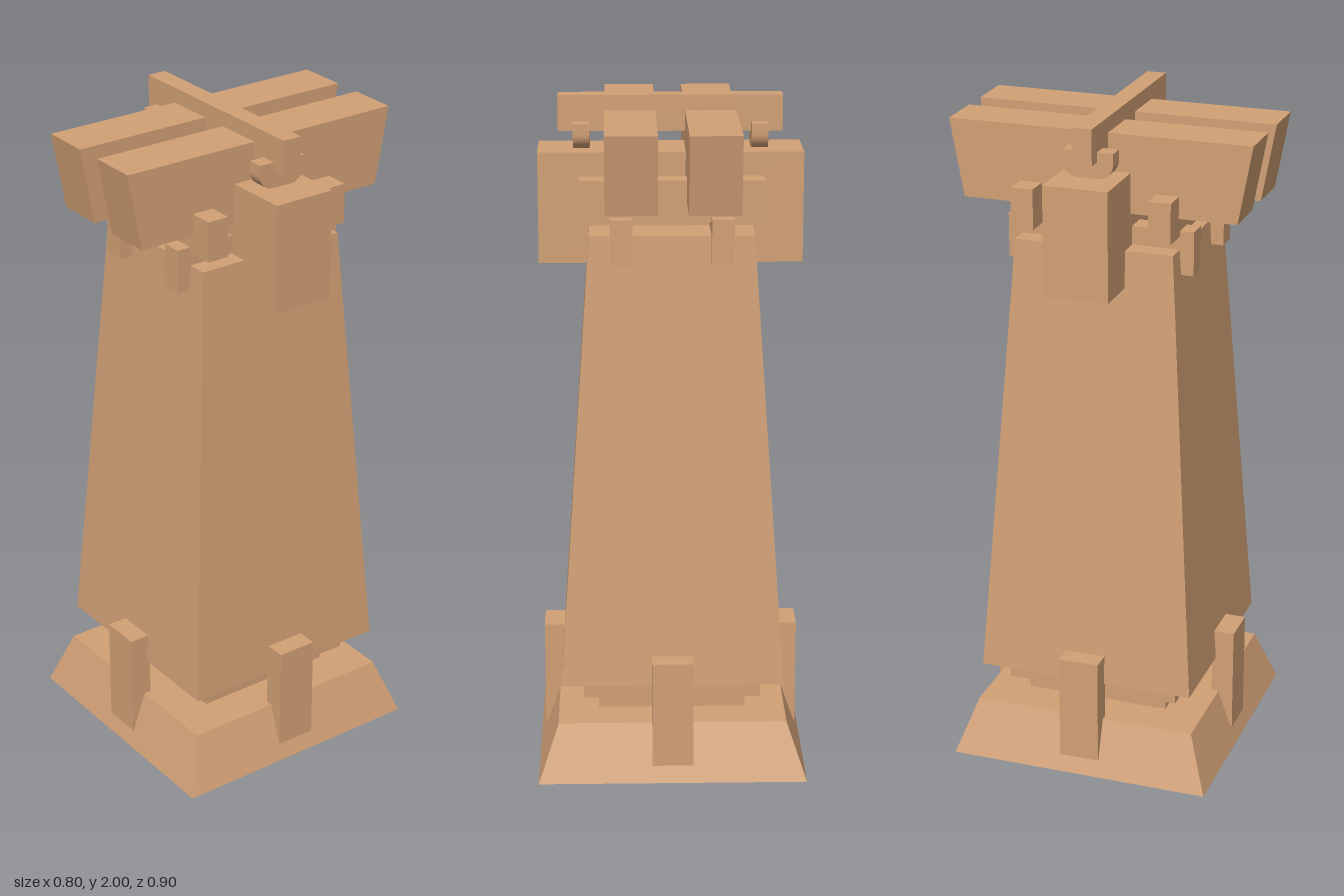
import * as THREE from 'three';

const wood = new THREE.MeshStandardMaterial({ color: 0xd2a075 });

// Block from y0 to y1, centred on x, z; the top may differ in size from the bottom.
function block(name, [w, d], y0, y1, x = 0, z = 0, [topW, topD] = [w, d]) {
  const geo = new THREE.BoxGeometry(w, y1 - y0, d);
  const p = geo.attributes.position;
  for (let i = 0; i < p.count; i++) {
    if (p.getY(i) > 0) {
      p.setX(i, Math.sign(p.getX(i)) * topW / 2);
      p.setZ(i, Math.sign(p.getZ(i)) * topD / 2);
    }
  }
  geo.computeVertexNormals();
  const mesh = new THREE.Mesh(geo, wood);
  mesh.name = name;
  mesh.position.set(x, (y0 + y1) / 2, z);
  return mesh;
}

// Small saddle with a flat top and rounded underside, running along x.
function saddle(x) {
  const r = 0.045, h = 0.076, top = 1.923, bottom = 1.847;
  const s = new THREE.Shape();
  s.moveTo(h, top);
  s.lineTo(-h, top);
  s.lineTo(-h, bottom + r);
  s.absarc(-h + r, bottom + r, r, Math.PI, Math.PI * 1.5, false);
  s.lineTo(h - r, bottom);
  s.absarc(h - r, bottom + r, r, Math.PI * 1.5, Math.PI * 2, false);
  const geo = new THREE.ExtrudeGeometry(s, { depth: 0.048, bevelEnabled: false, curveSegments: 8 });
  geo.translate(0, 0, -0.024);
  geo.rotateY(Math.PI / 2);
  const mesh = new THREE.Mesh(geo, wood);
  mesh.name = 'saddle';
  mesh.position.x = x;
  return mesh;
}

export function createModel() {
  const g = new THREE.Group();
  g.name = 'woodenTower';

  // Plinth, stepped neck and tapering body
  g.add(block('plinth', [0.8, 0.8], 0, 0.17, 0, 0, [0.68, 0.68]));
  g.add(block('lowerStep', [0.44, 0.44], 0.17, 0.22));
  g.add(block('upperStep', [0.53, 0.53], 0.22, 0.285));
  g.add(block('body', [0.66, 0.66], 0.285, 1.63, 0, 0, [0.475, 0.475]));

  // Wide cross beam and top rail
  g.add(block('crossBeam', [0.77, 0.192], 1.52, 1.845));
  g.add(block('topRail', [0.652, 0.058], 1.895, 2));

  for (const s of [-1, 1]) {
    // Posts on the four sides of the plinth
    g.add(block('sidePost', [0.067, 0.122], 0.05, 0.375, s * 0.352, 0));
    g.add(block('endPost', [0.122, 0.067], 0.05, 0.375, 0, s * 0.352));
    // Crossed joists under the main beams
    g.add(block('lowerJoist', [0.064, 0.56], 1.555, 1.685, s * 0.145, 0));
    g.add(block('upperJoist', [0.528, 0.067], 1.67, 1.79, 0, s * 0.205));
    // Main beams with slanted ends
    g.add(block('mainBeam', [0.148, 0.82], 1.725, 1.955, s * 0.117, 0, [0.148, 0.904]));
    g.add(saddle(s * 0.258));
  }
  return g;
}
